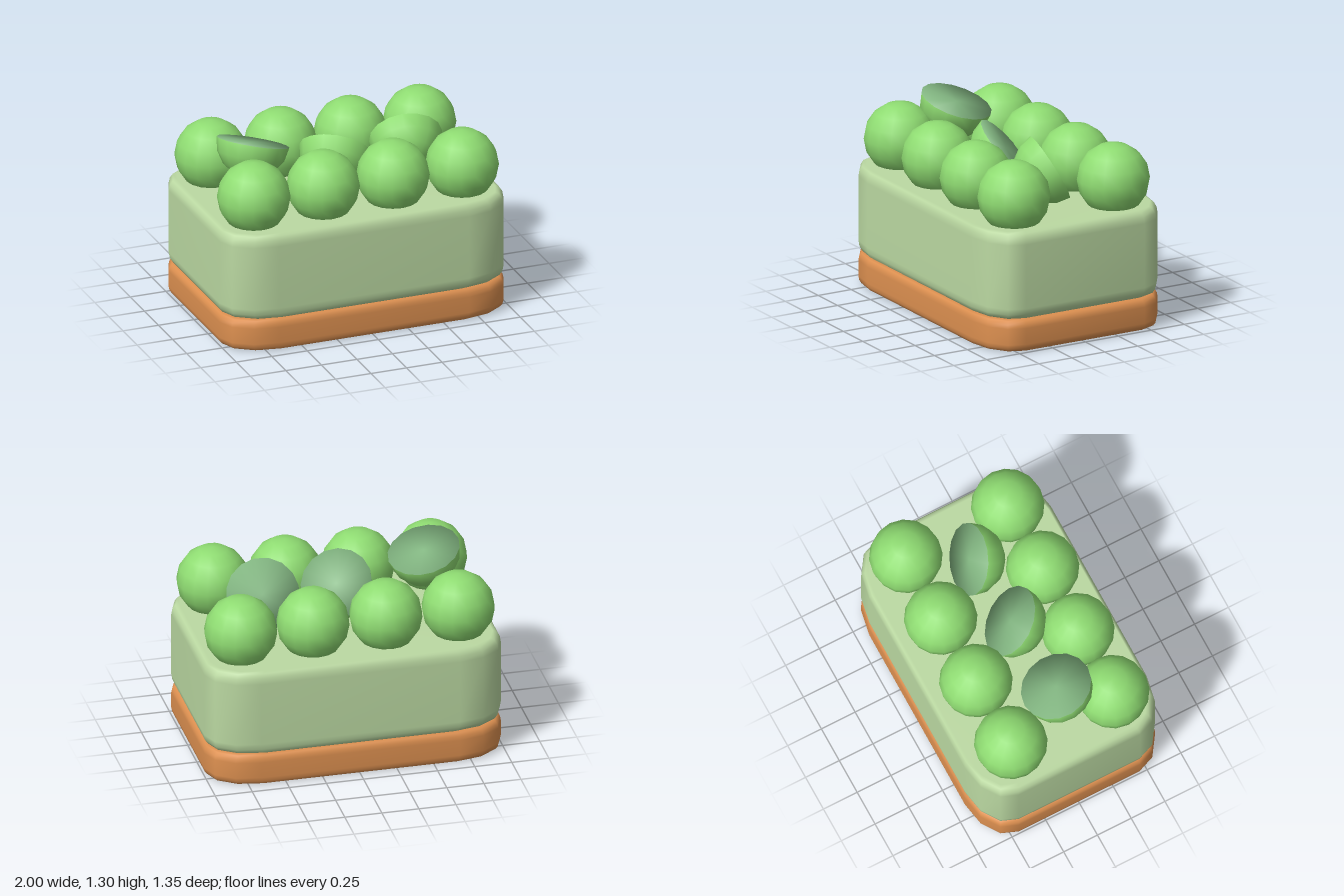
import * as THREE from 'three';

const mat = (name, color) => {
  const m = new THREE.MeshStandardMaterial({ color });
  m.name = name;
  return m;
};

// Slab with rounded corners and rounded top and bottom edges, built from stacked loops
function roundedSlab(y0, y1, bevelX, bevelY) {
  const lower = [], upper = [];
  const steps = 3;
  for (let i = 0; i <= steps; i++) {
    const a = (i / steps) * Math.PI / 2;
    const rise = bevelY * (1 - Math.cos(a));
    const scale = 1 - bevelX * (1 - Math.sin(a));
    lower.push([y0 + rise, scale]);
    upper.unshift([y1 - rise, scale]);
  }
  const loops = [...lower, ...upper];

  const pos = [], idx = [];
  const n = 16;
  for (const [y, scale] of loops) {
    for (let c = 0; c < 4; c++) {
      for (let k = 0; k < 4; k++) {
        const a = (c + k / 3) * Math.PI / 2;
        const signX = c === 0 || c === 3 ? 1 : -1;
        const signZ = c < 2 ? 1 : -1;
        pos.push((signX * 0.67 + 0.33 * Math.cos(a)) * scale, y, (signZ * 0.45 + 0.225 * Math.sin(a)) * scale);
      }
    }
  }
  for (let l = 0; l < loops.length - 1; l++) {
    for (let i = 0; i < n; i++) {
      const a = l * n + i, b = l * n + (i + 1) % n;
      idx.push(a, a + n, b, b, a + n, b + n);
    }
  }
  // Bottom and top faces
  const bottom = pos.length / 3;
  pos.push(0, y0, 0, 0, y1, 0);
  const last = (loops.length - 1) * n;
  for (let i = 0; i < n; i++) {
    const j = (i + 1) % n;
    idx.push(bottom, i, j, bottom + 1, last + j, last + i);
  }
  const g = new THREE.BufferGeometry();
  g.setAttribute('position', new THREE.Float32BufferAttribute(pos, 3));
  g.setIndex(idx);
  g.computeVertexNormals();
  return g;
}

// Flat cut face whose normals lean outward at the rim for a soft edge
function cutFace(radius, segments) {
  const g = new THREE.CircleGeometry(radius, segments);
  const p = g.attributes.position;
  const normal = new THREE.Vector3();
  for (let i = 0; i < p.count; i++) {
    normal.set(p.getX(i), p.getY(i), radius * 0.6).normalize();
    g.attributes.normal.setXYZ(i, normal.x, normal.y, normal.z);
  }
  return g.rotateX(-Math.PI / 2);
}

export function createModel() {
  const group = new THREE.Group();
  const crust = mat('biscuit brown', 0xdd9050);
  const cream = mat('pale green cream', 0xbbd9a2);
  const skin = mat('grape green', 0x8fdc72);
  const flesh = mat('cut grape green', 0x84b883);

  const add = (parent, name, geometry, material) => {
    const mesh = new THREE.Mesh(geometry, material);
    mesh.name = name;
    parent.add(mesh);
    return mesh;
  };

  add(group, 'biscuitBase', roundedSlab(0, 0.22, 0.04, 0.055), crust);
  add(group, 'creamLayer', roundedSlab(0.22, 0.82, 0.05, 0.08), cream);

  // Two rows of whole grapes
  const R = 0.242;
  const ball = new THREE.SphereGeometry(R, 16, 8);
  for (const z of [-0.368, 0.387]) {
    for (const x of [-0.733, -0.245, 0.247, 0.734]) {
      add(group, 'wholeGrape', ball, skin).position.set(x, 0.993, z);
    }
  }

  // Half grapes along the middle, each with its cut face turned a different way
  const bowl = new THREE.SphereGeometry(R, 16, 4, 0, Math.PI * 2, Math.PI / 2, Math.PI / 2);
  const cut = cutFace(R, 16);
  const up = new THREE.Vector3(0, 1, 0);
  const halves = [
    { at: [-0.6, 1.22, 0.038], facing: [0.25, 0.95, -0.2] },
    { at: [-0.005, 1.06, 0.012], facing: [0.4, 0.68, -0.61] },
    { at: [0.5, 1.06, -0.025], facing: [0.2, 0.48, -0.85] },
  ];
  for (const { at, facing } of halves) {
    const half = new THREE.Group();
    half.name = 'halfGrape';
    add(half, 'halfGrapeSkin', bowl, skin);
    add(half, 'halfGrapeCut', cut, flesh);
    half.position.set(...at);
    half.quaternion.setFromUnitVectors(up, new THREE.Vector3(...facing).normalize());
    group.add(half);
  }
  return group;
}
